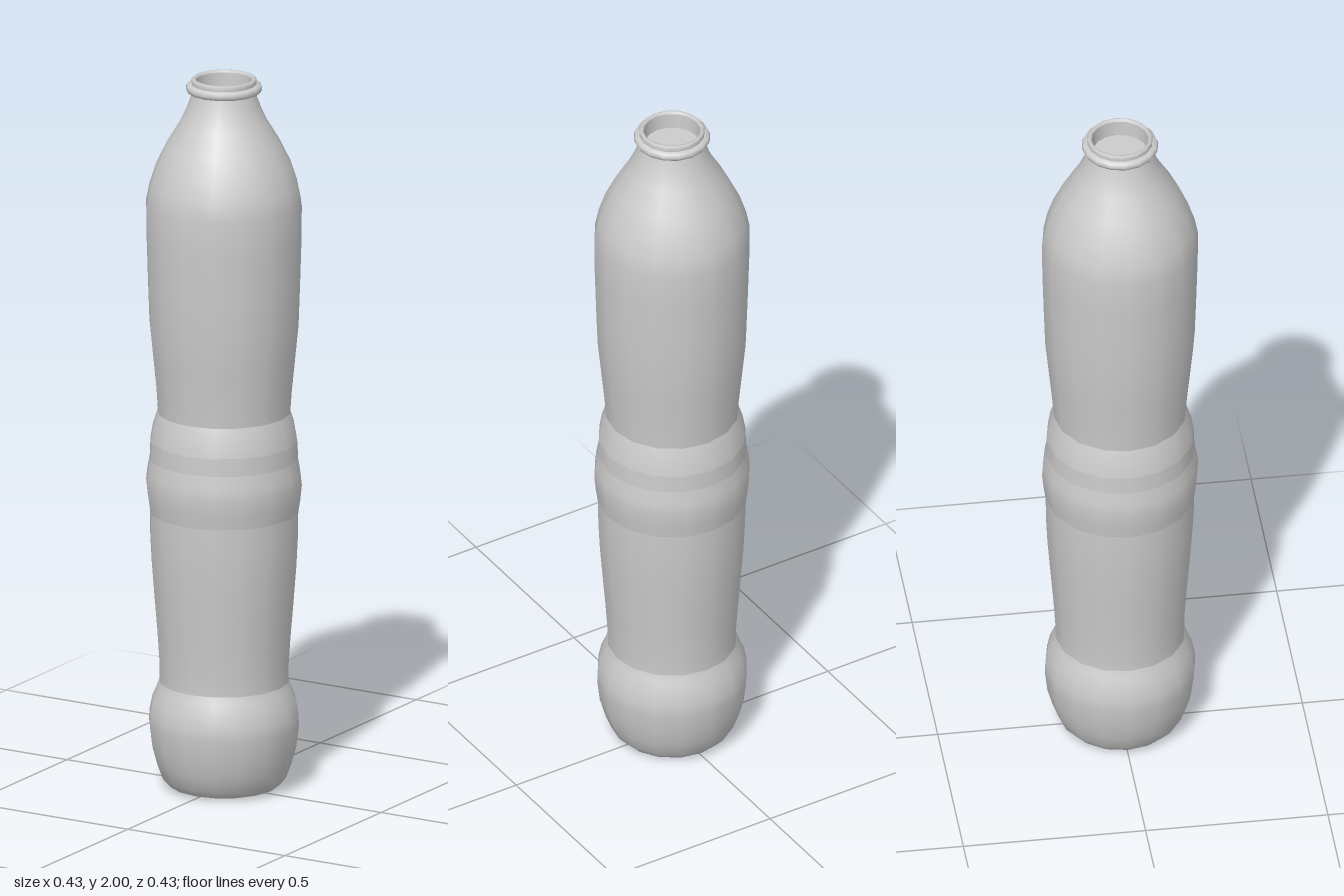
import * as THREE from 'three';

const SIDES = 16;

export function createModel() {
  const bottle = new THREE.Group();
  bottle.name = 'bottle';
  const material = new THREE.MeshStandardMaterial({ color: 0xcccccc });

  // Each section is its own lathe, so shading is smooth inside it and creased at its ends.
  // Profiles are [radius, height] and run from the base centre, up the outside, into the mouth.
  const addSection = (name, profile) => {
    const points = profile.map(([r, y]) => new THREE.Vector2(r, y));
    const mesh = new THREE.Mesh(new THREE.LatheGeometry(points, SIDES), material);
    mesh.name = name;
    bottle.add(mesh);
  };

  // Underside with a small moulding mark in the middle of a shallow hollow
  addSection('mouldMark', [[0, 0.012], [0.022, 0.012], [0.03, 0.02]]);
  addSection('underside', [[0.03, 0.02], [0.075, 0.016], [0.105, 0.004], [0.125, 0]]);

  // Rounded foot that narrows into the lower waist
  addSection('foot', [
    [0.125, 0], [0.15, 0.008], [0.17, 0.03], [0.185, 0.07], [0.199, 0.12],
    [0.206, 0.18], [0.205, 0.21], [0.197, 0.25], [0.184, 0.28], [0.177, 0.3],
  ]);
  addSection('lowerBody', [
    [0.177, 0.3], [0.177, 0.34], [0.183, 0.43], [0.192, 0.54], [0.199, 0.63], [0.203, 0.71], [0.204, 0.78],
  ]);

  // Bulging grip band and the taper above it
  addSection('gripBand', [[0.204, 0.78], [0.21, 0.82], [0.214, 0.86], [0.211, 0.89], [0.204, 0.93]]);
  addSection('gripStep', [[0.204, 0.93], [0.202, 0.98]]);
  addSection('gripTaper', [[0.202, 0.98], [0.195, 1.02], [0.182, 1.06]]);

  // Upper body, shoulder and neck in one smooth sweep
  addSection('upperBody', [
    [0.182, 1.06], [0.186, 1.12], [0.195, 1.21], [0.205, 1.31], [0.209, 1.42], [0.213, 1.55],
    [0.214, 1.65], [0.204, 1.7], [0.186, 1.755], [0.157, 1.815], [0.121, 1.875], [0.104, 1.91],
    [0.093, 1.94], [0.087, 1.96],
  ]);

  // Collar bead, lip and recessed mouth
  addSection('collar', [[0.087, 1.96], [0.1, 1.963], [0.105, 1.972], [0.101, 1.982], [0.089, 1.985]]);
  addSection('lip', [[0.089, 1.985], [0.09, 1.995], [0.086, 2], [0.08, 2], [0.077, 1.994]]);
  addSection('mouthWall', [[0.077, 1.994], [0.075, 1.95]]);
  addSection('mouthFloor', [[0.075, 1.95], [0, 1.95]]);

  return bottle;
}
